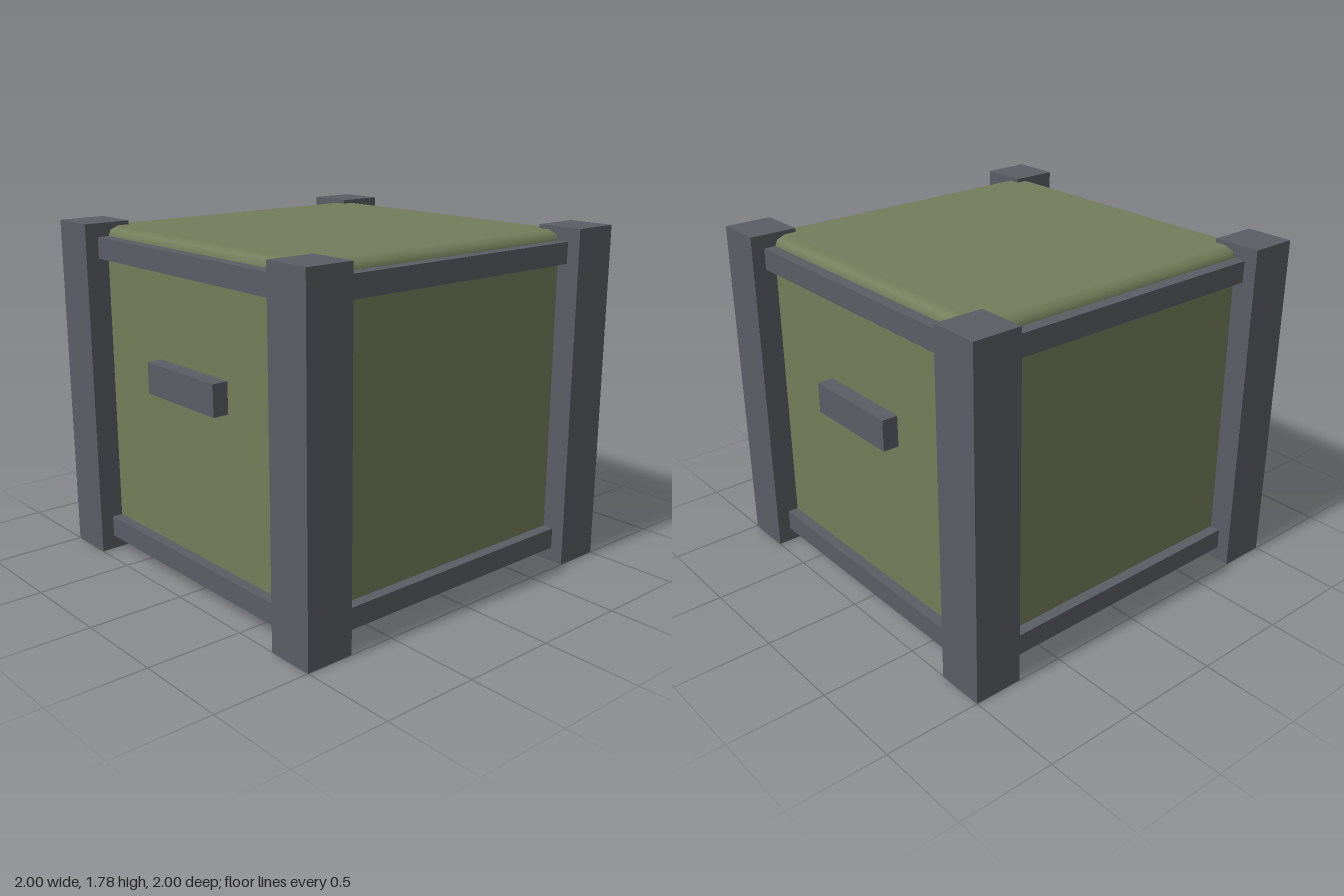
import * as THREE from 'three';
import { RoundedBoxGeometry } from 'three/addons/geometries/RoundedBoxGeometry.js';

export function createModel() {
  const model = new THREE.Group();
  model.name = 'crate';

  const green = new THREE.MeshStandardMaterial({ color: 0x737d5a });
  green.name = 'olive green';
  const grey = new THREE.MeshStandardMaterial({ color: 0x5a5d65 });
  grey.name = 'steel grey';

  const add = (name, geometry, material, x, y, z, parent = model) => {
    const mesh = new THREE.Mesh(geometry, material);
    mesh.name = name;
    mesh.position.set(x, y, z);
    parent.add(mesh);
    return mesh;
  };

  // Body with softly bevelled edges
  add('body', new RoundedBoxGeometry(1.746, 1.738, 1.746, 1, 0.065), green, 0, 0.891, 0);

  // Corner posts
  const postSize = 0.254;
  const postGeometry = new THREE.BoxGeometry(postSize, 1.78, postSize);
  const postOffset = 1 - postSize / 2;
  for (const sx of [-1, 1]) {
    for (const sz of [-1, 1]) {
      add('cornerPost', postGeometry, grey, sx * postOffset, 0.89, sz * postOffset);
    }
  }

  // Rails between the posts, two on each of the four sides
  const railGeometry = new THREE.BoxGeometry(1.56, 0.11, 0.1);
  const sides = ['front', 'left', 'back', 'right'];
  sides.forEach((side, i) => {
    const frame = new THREE.Group();
    frame.name = side + 'Rails';
    frame.rotation.y = i * Math.PI / 2;
    model.add(frame);
    add('lowerRail', railGeometry, grey, 0, 0.13, 0.88, frame);
    add('upperRail', railGeometry, grey, 0, 1.655, 0.88, frame);
  });

  // Handles on front and back
  const handleGeometry = new THREE.BoxGeometry(0.55, 0.16, 0.1);
  add('frontHandle', handleGeometry, grey, 0, 1.066, 0.906);
  add('backHandle', handleGeometry, grey, 0, 1.066, -0.906);

  return model;
}
